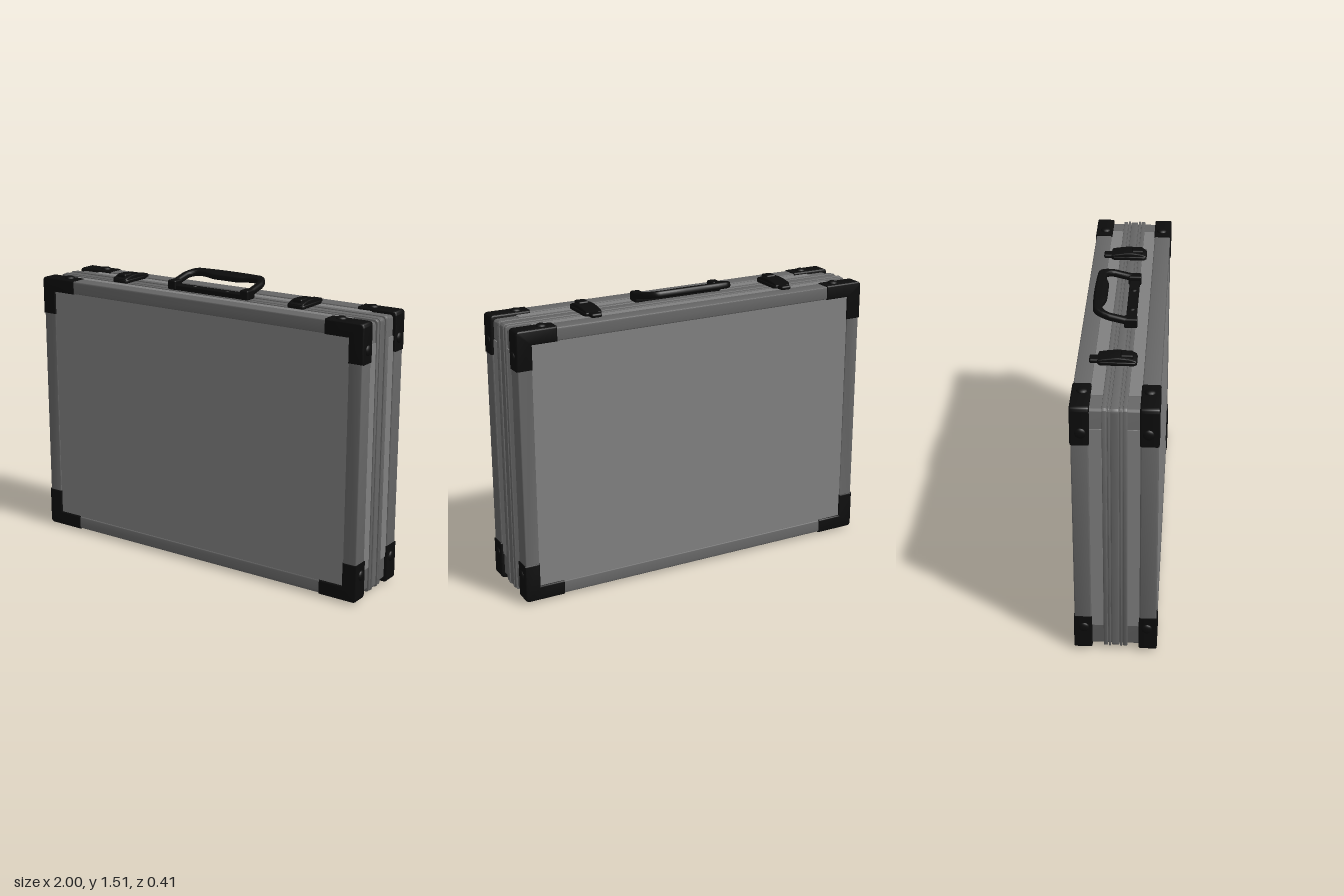
import * as THREE from 'three';
import { toCreasedNormals } from 'three/addons/utils/BufferGeometryUtils.js';
import { RoundedBoxGeometry } from 'three/addons/geometries/RoundedBoxGeometry.js';

const CY = 0.722, HW = 0.985, HH = 0.703; // case centre height, half width, half height

const panelMat = new THREE.MeshStandardMaterial({ color: 0x808080 });
const frameMat = new THREE.MeshStandardMaterial({ color: 0x666666 });
const blackMat = new THREE.MeshStandardMaterial({ color: 0x0c0c0c });

function add(parent, name, geometry, material, x = 0, y = 0, z = 0) {
  const mesh = new THREE.Mesh(geometry, material);
  mesh.name = name;
  mesh.position.set(x, y, z);
  parent.add(mesh);
  return mesh;
}

// Rounded rectangle around the origin
function roundRect(w, h, r, Type = THREE.Shape) {
  const s = new Type();
  s.moveTo(-w + r, -h);
  s.lineTo(w - r, -h).absarc(w - r, -h + r, r, -Math.PI / 2, 0);
  s.lineTo(w, h - r).absarc(w - r, h - r, r, 0, Math.PI / 2);
  s.lineTo(-w + r, h).absarc(-w + r, h - r, r, Math.PI / 2, Math.PI);
  s.lineTo(-w, -h + r).absarc(-w + r, -h + r, r, Math.PI, Math.PI * 1.5);
  return s;
}

// Extrusion whose outline and depth already include the bevel
function extrude(shape, depth, bevel) {
  const g = new THREE.ExtrudeGeometry(shape, {
    depth: depth - 2 * bevel, curveSegments: 8, bevelEnabled: bevel > 0,
    bevelThickness: bevel, bevelSize: bevel, bevelOffset: -bevel, bevelSegments: 3,
  });
  g.translate(0, 0, bevel);
  return toCreasedNormals(g, 0.6);
}

// Slab running round the whole case between two depths
function band(parent, name, z0, z1, inset, material, bevel = 0) {
  const g = extrude(roundRect(HW - inset, HH - inset, 0.02), z1 - z0, bevel);
  add(parent, name, g, material, 0, CY, z0);
}

// One half of the case, modelled towards +z
function makeShell() {
  const shell = new THREE.Group();
  band(shell, 'shellBody', 0, 0.194, 0.012, frameMat);
  add(shell, 'facePanel', new THREE.BoxGeometry(1.84, 1.29, 0.006), panelMat, 0, CY, 0.194);

  // Metal edge frame
  const ring = roundRect(HW, HH, 0.02);
  ring.holes.push(roundRect(0.91, 0.635, 0.004, THREE.Path));
  add(shell, 'edgeFrame', extrude(ring, 0.083, 0.006), frameMat, 0, CY, 0.118);

  // Light inset panels on the four sides
  for (const s of [-1, 1]) {
    add(shell, 'sidePanel', new THREE.BoxGeometry(0.008, 1.155, 0.062), panelMat, s * (HW - 0.011), 0.733, 0.09);
    add(shell, 'edgePanel', new THREE.BoxGeometry(1.71, 0.008, 0.062), panelMat, 0, CY + s * (HH - 0.011), 0.09);
  }

  // Corner protectors with dome rivets
  for (const sx of [-1, 1]) for (const sy of [-1, 1]) {
    const corner = new THREE.Group();
    corner.name = 'cornerProtector';
    const pts = [[0.99, 0.708], [0.775, 0.708], [0.775, 0.632], [0.908, 0.632], [0.908, 0.508], [0.99, 0.508]];
    const shape = new THREE.Shape();
    const p = pts.map(([x, y]) => new THREE.Vector2(x * sx, y * sy));
    const r = 0.022;
    shape.moveTo(p[0].x, p[0].y - sy * r);
    shape.quadraticCurveTo(p[0].x, p[0].y, p[0].x - sx * r, p[0].y);
    for (let i = 1; i < 6; i++) shape.lineTo(p[i].x, p[i].y);
    add(corner, 'cornerCap', extrude(shape, 0.09, 0.008), blackMat, 0, CY, 0.115);
    const dome = new THREE.SphereGeometry(0.027, 14, 10);
    add(corner, 'sideRivet', dome, blackMat, sx * 0.988, CY + sy * 0.573, 0.155).scale.x = 0.45;
    add(corner, 'endRivet', dome, blackMat, sx * 0.84, CY + sy * 0.708, 0.155).scale.y = 0.5;
    shell.add(corner);
  }
  return shell;
}

// Swing handle lying back over the case
function makeHandle() {
  const handle = new THREE.Group();
  handle.name = 'handle';
  const s = new THREE.Shape();
  s.moveTo(-0.25, -0.01).lineTo(-0.25, 0.11);
  s.quadraticCurveTo(-0.235, 0.185, -0.19, 0.195);
  s.quadraticCurveTo(0, 0.208, 0.19, 0.195);
  s.quadraticCurveTo(0.235, 0.185, 0.25, 0.11);
  s.lineTo(0.25, -0.01);
  // Inner edge with finger bulge
  s.lineTo(0.213, -0.01).lineTo(0.213, 0.11);
  s.quadraticCurveTo(0.2, 0.15, 0.165, 0.15);
  s.bezierCurveTo(0.11, 0.15, 0.11, 0.132, 0.06, 0.132);
  s.lineTo(-0.06, 0.132);
  s.bezierCurveTo(-0.11, 0.132, -0.11, 0.15, -0.165, 0.15);
  s.quadraticCurveTo(-0.2, 0.15, -0.213, 0.11);
  s.lineTo(-0.213, -0.01);
  const g = extrude(s, 0.034, 0.012);
  g.rotateX(-Math.PI / 2);
  add(handle, 'grip', g, blackMat, 0, 1.437, 0.035).rotation.x = 0.23;
  add(handle, 'mountBar', new RoundedBoxGeometry(0.48, 0.028, 0.052, 2, 0.006), blackMat, 0, 1.438, 0.036);
  for (const x of [-1, 1]) {
    add(handle, 'hingeBlock', new RoundedBoxGeometry(0.05, 0.05, 0.066, 2, 0.008), blackMat, x * 0.225, 1.45, 0.036);
    add(handle, 'mountScrew', new THREE.SphereGeometry(0.016, 12, 8), blackMat, x * 0.1, 1.45, 0.036).scale.y = 0.5;
  }
  return handle;
}

// Draw latch bridging the two halves
function makeLatch(x) {
  const latch = new THREE.Group();
  latch.name = 'latch';
  latch.position.x = x;
  const base = roundRect(0.05, 0.094, 0.022);
  const plate = extrude(base, 0.018, 0.004);
  plate.rotateX(-Math.PI / 2);
  add(latch, 'latchPlate', plate, blackMat, 0, 1.425, -0.01);

  // Arched lever, drawn in side profile
  const side = new THREE.Shape();
  side.moveTo(-0.08, 0).lineTo(-0.08, 0.018);
  side.bezierCurveTo(-0.03, 0.043, 0.04, 0.035, 0.1, 0.022);
  side.lineTo(0.1, 0);
  const lever = extrude(side, 0.088, 0.005);
  lever.translate(0, 0, -0.044);
  lever.rotateY(Math.PI / 2);
  add(latch, 'latchLever', lever, blackMat, 0, 1.428, 0);

  add(latch, 'latchLock', new RoundedBoxGeometry(0.056, 0.035, 0.06, 2, 0.008), blackMat, 0, 1.452, 0.035);
  add(latch, 'latchCatch', new RoundedBoxGeometry(0.056, 0.022, 0.06, 2, 0.009), blackMat, 0, 1.433, -0.113);
  return latch;
}

export function createModel() {
  const model = new THREE.Group();
  model.name = 'briefcase';

  const front = makeShell();
  front.name = 'frontShell';
  const back = makeShell();
  back.name = 'backShell';
  back.rotation.y = Math.PI;
  model.add(front, back);

  // Ridged rails round the opening: centre depth, width, inset
  const rails = [[0, 0.036, 0.004], [0.028, 0.01, 0], [0.048, 0.02, 0.002]];
  for (const [z, w, inset] of rails) {
    for (const s of z ? [-1, 1] : [1]) {
      band(model, 'closingRail', s * z - w / 2, s * z + w / 2, inset, frameMat, 0.003);
    }
  }

  model.add(makeHandle(), makeLatch(-0.56), makeLatch(0.535));
  return model;
}
